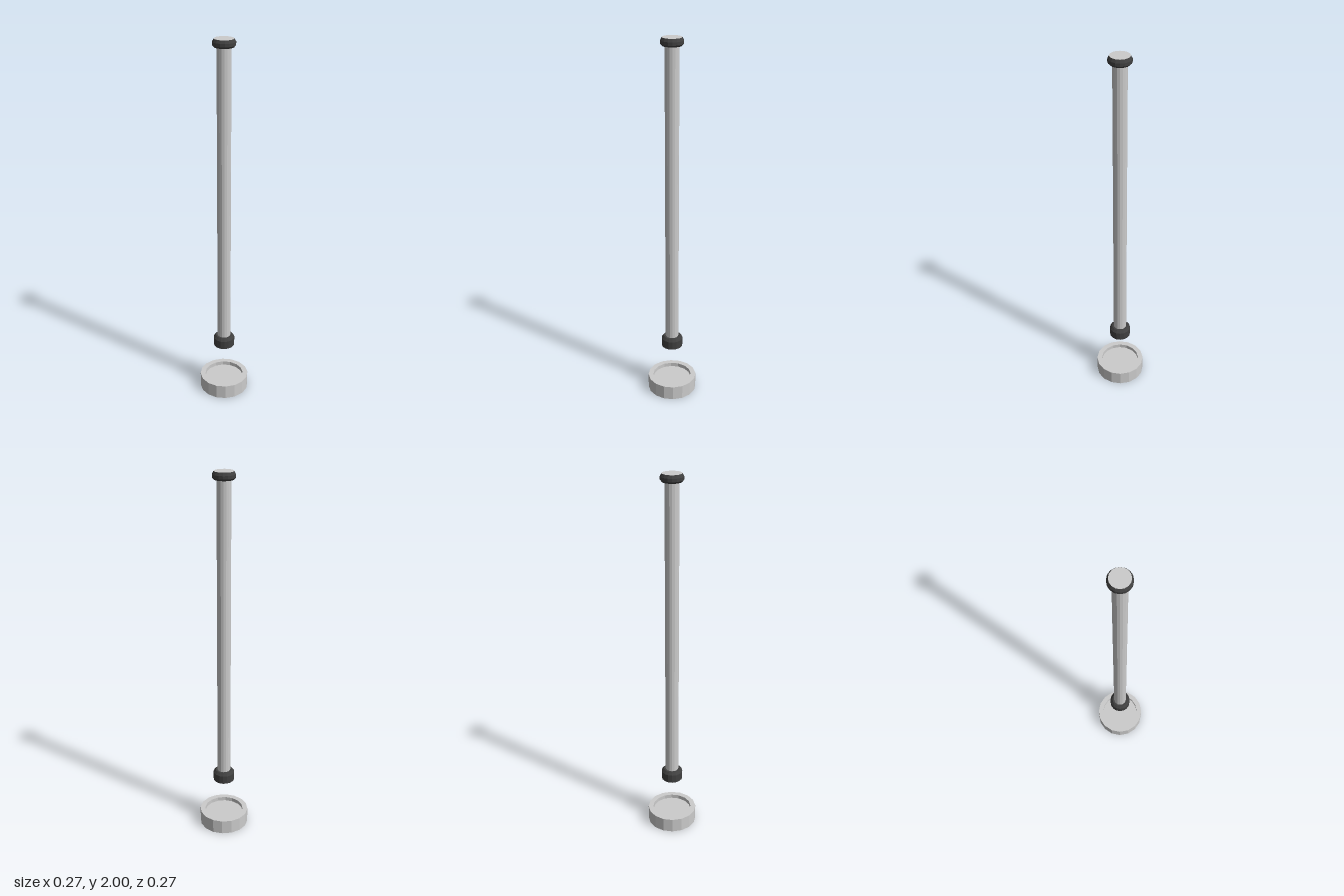
import * as THREE from 'three';

const SIDES = 16;

export function createModel() {
  const group = new THREE.Group();
  const grey = new THREE.MeshStandardMaterial({ color: 0xcccccc, flatShading: true });
  const dark = new THREE.MeshStandardMaterial({ color: 0x404040, flatShading: true });

  // Turned part from [radius, height] points, listed from the underside outwards and up
  const turned = (name, material, points) => {
    const profile = points.map(([r, y]) => new THREE.Vector2(r, y));
    const mesh = new THREE.Mesh(new THREE.LatheGeometry(profile, SIDES), material);
    mesh.name = name;
    group.add(mesh);
  };

  // Round foot with a shallow recess in its top
  turned('base', grey, [[0, 0], [0.135, 0], [0.135, 0.08], [0.107, 0.08], [0.107, 0.058], [0, 0.058]]);

  // Long straight shaft, floating above the base
  turned('shaft', grey, [[0.036, 0.33], [0.036, 1.97]]);

  // Lower collar, chamfered towards the shaft
  turned('lowerCollar', dark, [[0, 0.28], [0.058, 0.28], [0.058, 0.327], [0.046, 0.342], [0.035, 0.342]]);

  // Upper collar, chamfered above and below
  turned('upperCollar', dark, [[0.035, 1.96], [0.05, 1.96], [0.058, 1.969], [0.058, 1.985], [0.05, 2]]);

  // Light disc closing the upper collar
  turned('topDisc', grey, [[0.05, 2], [0, 2]]);

  return group;
}
